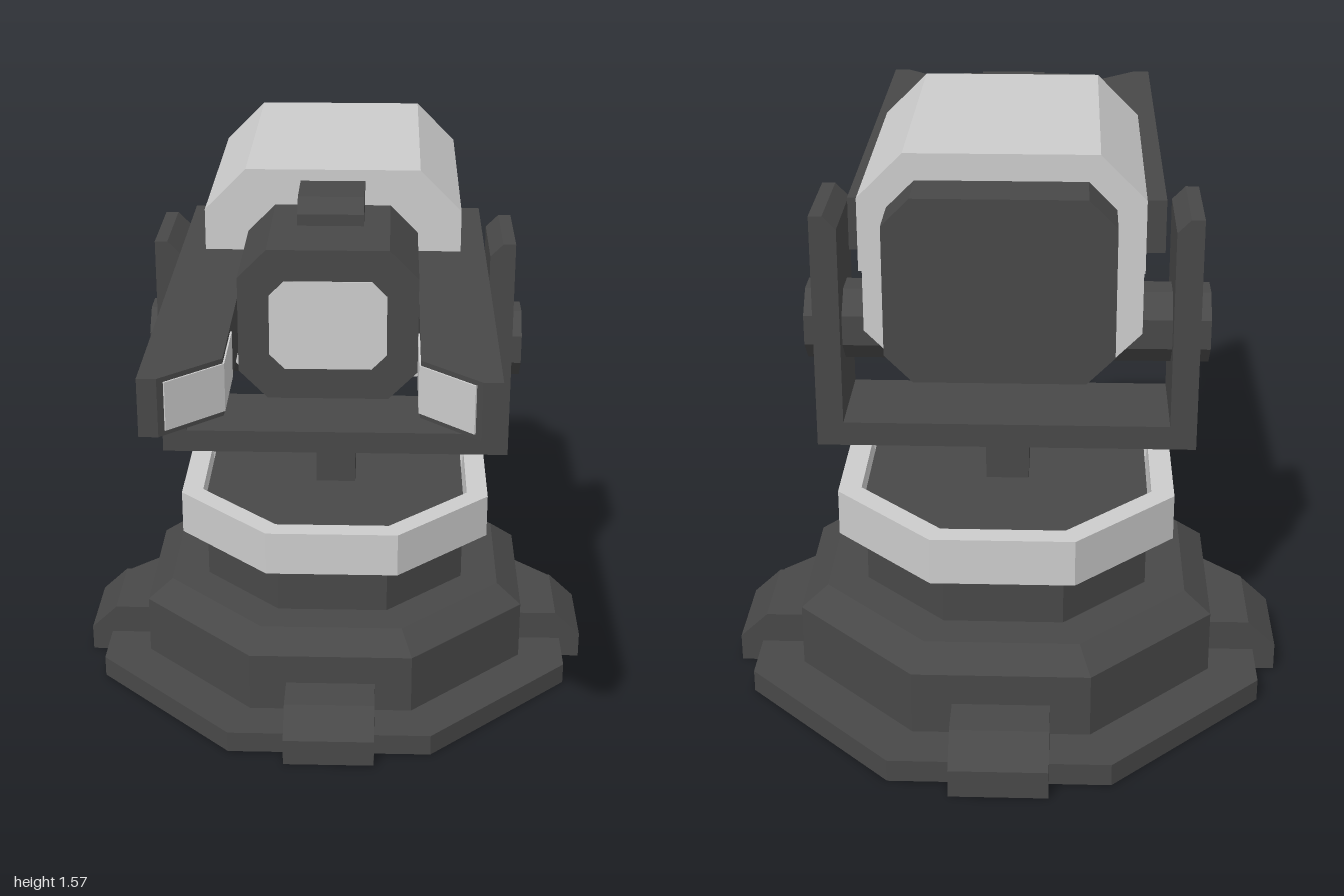
import * as THREE from 'three';

const dark = new THREE.MeshStandardMaterial({ color: 0x484848 });
dark.name = 'darkMetal';
const light = new THREE.MeshStandardMaterial({ color: 0xcccccc });
light.name = 'lightPanel';

const AXIS_Z = -0.26; // vertical turning axis of the base

function add(parent, name, geometry, material) {
  const flat = geometry.index ? geometry.toNonIndexed() : geometry;
  flat.computeVertexNormals();
  const mesh = new THREE.Mesh(flat, material);
  mesh.name = name;
  parent.add(mesh);
  return mesh;
}

// Outline in x,y extruded from z0 to z1
function prism(points, z0, z1) {
  const shape = new THREE.Shape(points.map(([x, y]) => new THREE.Vector2(x, y)));
  return new THREE.ExtrudeGeometry(shape, { depth: z1 - z0, bevelEnabled: false }).translate(0, 0, z0);
}

// Outline in x,z extruded from y0 to y1
function slab(points, y0, y1) {
  return prism(points.map(([x, z]) => [x, -z]), y0, y1).rotateX(-Math.PI / 2);
}

// Outline in z,y extruded from x0 to x1
function sideways(points, x0, x1) {
  return prism(points.map(([z, y]) => [-z, y]), x0, x1).rotateY(Math.PI / 2);
}

// Rectangle with cut corners
function cutRect(w, y0, y1, c) {
  return [[-w + c, y0], [w - c, y0], [w, y0 + c], [w, y1 - c],
    [w - c, y1], [-w + c, y1], [-w, y1 - c], [-w, y0 + c]];
}

// Eight-sided turned form; profile radii are measured to the flats
function octagonal(profile) {
  const k = 1 / Math.cos(Math.PI / 8);
  return new THREE.LatheGeometry(profile.map(([r, y]) => new THREE.Vector2(r * k, y)), 8, Math.PI / 8);
}

export function createModel() {
  const model = new THREE.Group();
  model.name = 'turret';

  // Stepped base with four feet and a light collar
  const base = new THREE.Group();
  base.name = 'base';
  base.position.z = AXIS_Z;
  model.add(base);
  add(base, 'pedestal', octagonal([[0, 0], [0.68, 0], [0.68, 0.06], [0.55, 0.06], [0.55, 0.23],
    [0.48, 0.285], [0.375, 0.285], [0.375, 0.545], [0, 0.545]]), dark);
  add(base, 'collar', octagonal([[0.375, 0.435], [0.445, 0.435], [0.445, 0.56], [0.385, 0.56],
    [0.385, 0.535], [0.375, 0.435]]), light);
  for (let i = 0; i < 4; i++) {
    const foot = add(base, 'foot', sideways([[0.5, 0], [0.74, 0], [0.74, 0.075], [0.665, 0.145], [0.5, 0.145]],
      -0.125, 0.125), dark);
    foot.rotation.y = i * Math.PI / 2;
  }
  add(base, 'post', new THREE.BoxGeometry(0.115, 0.15, 0.115).translate(0, 0.615, 0), dark);

  // U-shaped yoke and its octagonal axle
  add(model, 'yoke', prism([[-0.5, 0.675], [0.5, 0.675], [0.5, 1.31], [0.465, 1.31], [0.43, 1.275],
    [0.43, 0.74], [-0.43, 0.74], [-0.43, 1.275], [-0.465, 1.31], [-0.5, 1.31]], -0.4, -0.115), dark);
  const axle = octagonal([[0, -0.53], [0.097, -0.53], [0.097, 0.53], [0, 0.53]]);
  add(model, 'axle', axle.rotateZ(Math.PI / 2).translate(0, 0.983, AXIS_Z), dark);

  // Main housing, with its upper half overhanging at the back
  add(model, 'housing', prism(cutRect(0.34, 0.985, 1.565, 0.11), -0.63, 0.06), light);
  add(model, 'housingOverhang', prism([[-0.34, 1.275], [0.34, 1.275], [0.34, 1.455], [0.23, 1.565],
    [-0.23, 1.565], [-0.34, 1.455]], -0.7, -0.63), light);
  add(model, 'rearBlock', prism(cutRect(0.27, 1.05, 1.5, 0.067), -0.84, -0.6), dark);

  // Front barrel, lens and sight
  add(model, 'barrel', prism(cutRect(0.225, 1.08, 1.47, 0.073), 0, 0.455), dark);
  add(model, 'lens', prism(cutRect(0.147, 1.16, 1.39, 0.038), 0.452, 0.458), light);
  add(model, 'sight', sideways([[0.05, 1.46], [0.25, 1.46], [0.25, 1.5], [0.21, 1.535], [0.05, 1.535]],
    -0.085, 0.085), dark);

  // Long side rails with light plates wrapping round the inner tips
  for (const s of [1, -1]) {
    const mirror = (points) => points.map(([x, z]) => [s * x, z]);
    add(model, s > 0 ? 'leftRail' : 'rightRail', slab(mirror([[0.225, -0.35], [0.405, -0.35], [0.405, 1],
      [0.36, 1], [0.225, 0.87]]), 1.205, 1.345), dark);
    add(model, s > 0 ? 'leftTipPlate' : 'rightTipPlate', slab(mirror([[0.225, 0.66], [0.221, 0.66],
      [0.221, 0.872], [0.344, 0.991], [0.347, 0.9875], [0.225, 0.87]]), 1.217, 1.333), light);
  }

  return model;
}
